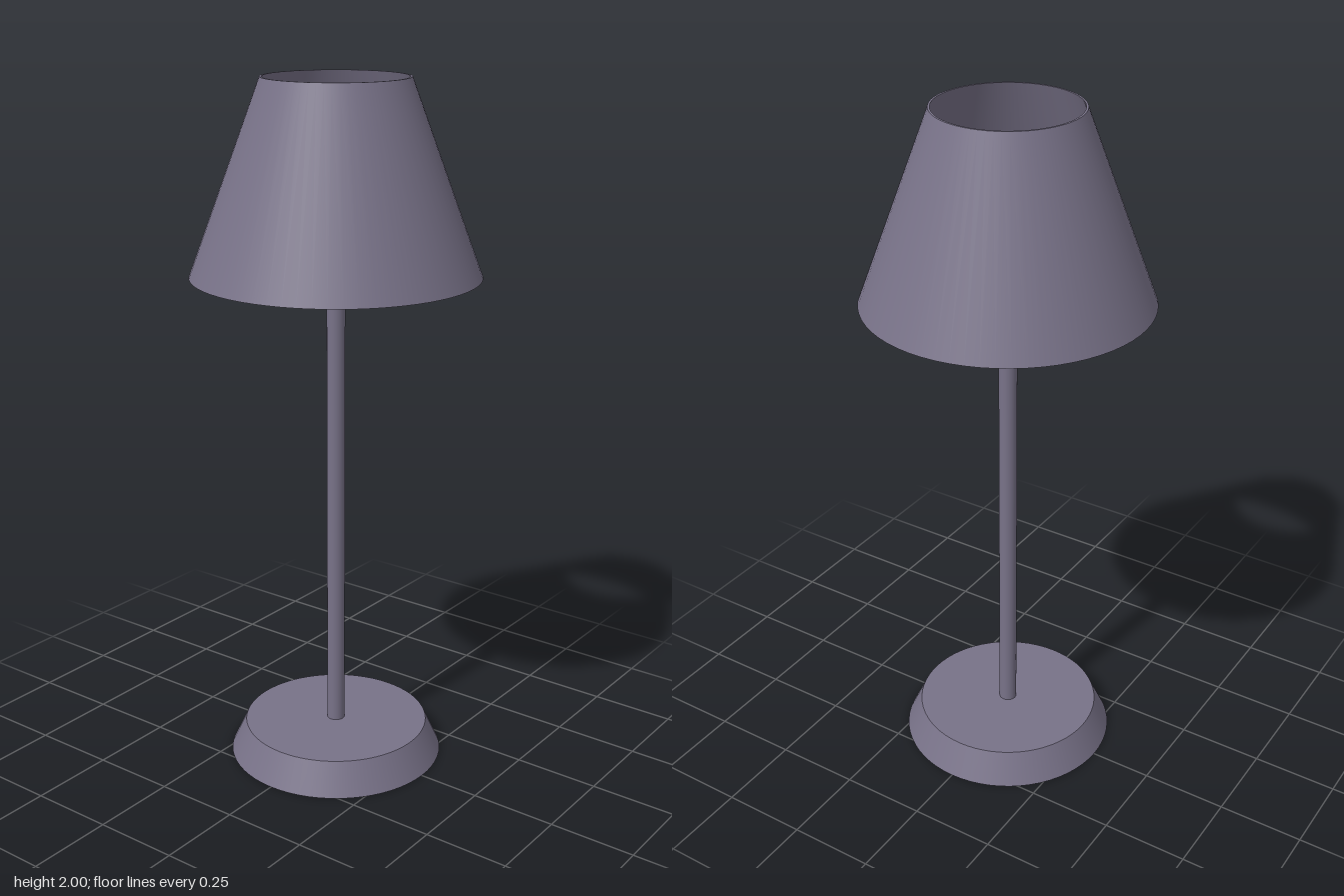
import * as THREE from 'three';
import { mergeGeometries } from 'three/addons/utils/BufferGeometryUtils.js';

const SIDES = 64;

// Revolves each profile segment on its own, so corners stay crisp and walls smooth
function turned(profile) {
  const parts = [];
  for (let i = 0; i < profile.length - 1; i++) {
    const pair = [profile[i], profile[i + 1]].map(([r, y]) => new THREE.Vector2(r, y));
    parts.push(new THREE.LatheGeometry(pair, SIDES));
  }
  return mergeGeometries(parts);
}

export function createModel() {
  const group = new THREE.Group();
  group.name = 'tableLamp';

  const lampGrey = new THREE.MeshStandardMaterial({ color: 0x787288 });
  lampGrey.name = 'mauveGrey';

  const add = (name, geometry, y = 0) => {
    const mesh = new THREE.Mesh(geometry, lampGrey);
    mesh.name = name;
    mesh.position.y = y;
    group.add(mesh);
  };

  // Tapered foot
  const baseHeight = 0.095;
  add('base', new THREE.CylinderGeometry(0.272, 0.316, baseHeight, SIDES), baseHeight / 2);

  // Slim pole, ending level with the lower rim of the shade
  const poleTop = 1.46;
  const poleLength = poleTop - baseHeight;
  add('pole', new THREE.CylinderGeometry(0.026, 0.026, poleLength, 32), baseHeight + poleLength / 2);

  // Thin-walled shade, open at both ends: outside, top rim, inside, bottom rim
  add('shade', turned([
    [0.407, 1.46],
    [0.205, 2],
    [0.199, 2],
    [0.401, 1.46],
    [0.407, 1.46],
  ]));

  return group;
}
